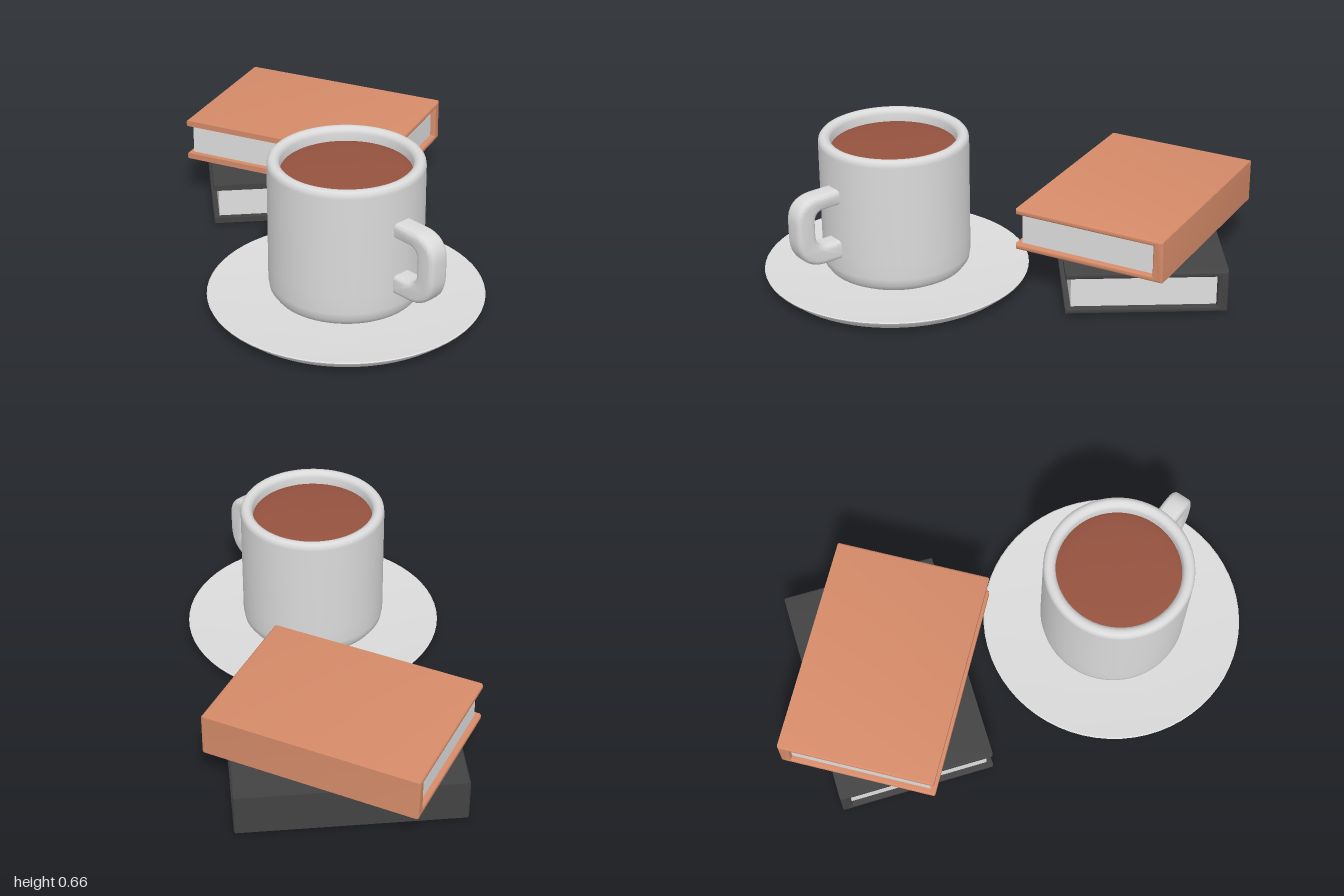
import * as THREE from 'three';
import { toCreasedNormals } from 'three/addons/utils/BufferGeometryUtils.js';

const mat = (name, color) => new THREE.MeshStandardMaterial({ name, color });

function addMesh(parent, name, geometry, material) {
  const mesh = new THREE.Mesh(geometry, material);
  mesh.name = name;
  parent.add(mesh);
  return mesh;
}

function lathe(points) {
  return new THREE.LatheGeometry(points.map(([r, y]) => new THREE.Vector2(r, y)), 64);
}

// Extrusion with rounded edges that keeps the outline's size, centred on z = 0
function roundedExtrude(shape, depth, bevel, segments) {
  const geometry = new THREE.ExtrudeGeometry(shape, {
    depth: depth - 2 * bevel, curveSegments: 10,
    bevelEnabled: true, bevelSize: bevel, bevelThickness: bevel,
    bevelOffset: -bevel, bevelSegments: segments,
  });
  geometry.translate(0, 0, -depth / 2 + bevel);
  return toCreasedNormals(geometry, 0.75);
}

// Hardback: long side on x, spine at -z, page block open on the other three sides
function makeBook(name, coverMaterial, pageMaterial) {
  const book = new THREE.Group();
  book.name = name;
  const L = 0.96, W = 0.68, H = 0.187, board = 0.026, spine = 0.045, inset = 0.024;
  const w = W / 2;
  const section = new THREE.Shape([
    [-w, 0], [w, 0], [w, H], [-w, H], [-w, H - board],
    [w - spine, H - board], [w - spine, board], [-w, board],
  ].map(([x, y]) => new THREE.Vector2(x, y)));
  const cover = roundedExtrude(section, L, 0.01, 3);
  cover.rotateY(Math.PI / 2);
  addMesh(book, 'cover', cover, coverMaterial);

  const pageDepth = W - spine - inset + 0.01;
  const pages = addMesh(book, 'pages',
    new THREE.BoxGeometry(L - 2 * inset, H - 2 * board + 0.004, pageDepth), pageMaterial);
  pages.position.set(0, H / 2, w - inset - pageDepth / 2);
  return book;
}

export function createModel() {
  const china = mat('china', 0xdadada);
  const paper = mat('paper', 0xdedede);
  const orange = mat('orange cover', 0xd58b69);
  const black = mat('black cover', 0x434343);
  const coffee = mat('coffee', 0x95523f);

  const model = new THREE.Group();
  model.name = 'coffeeAndBooks';

  // Two stacked books, turned differently
  const lower = makeBook('lowerBook', black, paper);
  lower.position.set(-0.43, 0.013, -0.305);
  lower.rotation.y = 0.92;
  const upper = makeBook('upperBook', orange, paper);
  upper.position.set(-0.4275, 0.203, -0.305);
  upper.rotation.y = 0.384;
  model.add(lower, upper);

  const service = new THREE.Group();
  service.name = 'cupAndSaucer';
  service.position.set(0.42, 0, 0.305);
  model.add(service);

  // Shallow saucer with a sloping underside
  addMesh(service, 'saucer', toCreasedNormals(lathe([
    [0, 0], [0.5, 0], [0.525, 0.006], [0.572, 0.045], [0.575, 0.052],
    [0.57, 0.055], [0.5, 0.05], [0.36, 0.042], [0, 0.04],
  ]), 0.6), china);

  // Mug body with rounded foot and lip
  addMesh(service, 'cup', lathe([
    [0, 0.041], [0.24, 0.041], [0.268, 0.047], [0.298, 0.064], [0.315, 0.088],
    [0.32, 0.12], [0.32, 0.2], [0.32, 0.63], [0.318, 0.645], [0.31, 0.656],
    [0.298, 0.66], [0.285, 0.658], [0.273, 0.65], [0.267, 0.635],
    [0.267, 0.6], [0.265, 0.15], [0.24, 0.1], [0, 0.095],
  ]), china);

  // Gently domed drink surface
  addMesh(service, 'drink', lathe([
    [0.268, 0.602], [0.25, 0.609], [0.2, 0.615], [0.1, 0.62], [0, 0.621],
  ]), coffee);

  // D-shaped handle, its ends sunk into the cup wall
  const d = new THREE.Shape();
  d.moveTo(0.285, 0.495);
  d.lineTo(0.41, 0.495);
  d.bezierCurveTo(0.485, 0.495, 0.525, 0.455, 0.525, 0.39);
  d.lineTo(0.525, 0.32);
  d.bezierCurveTo(0.525, 0.225, 0.47, 0.178, 0.39, 0.178);
  d.lineTo(0.285, 0.178);
  d.lineTo(0.285, 0.262);
  d.lineTo(0.375, 0.262);
  d.bezierCurveTo(0.415, 0.262, 0.435, 0.285, 0.435, 0.32);
  d.lineTo(0.435, 0.38);
  d.bezierCurveTo(0.435, 0.412, 0.42, 0.427, 0.39, 0.427);
  d.lineTo(0.285, 0.427);
  d.closePath();
  addMesh(service, 'handle', roundedExtrude(d, 0.094, 0.022, 4), china);

  return model;
}
